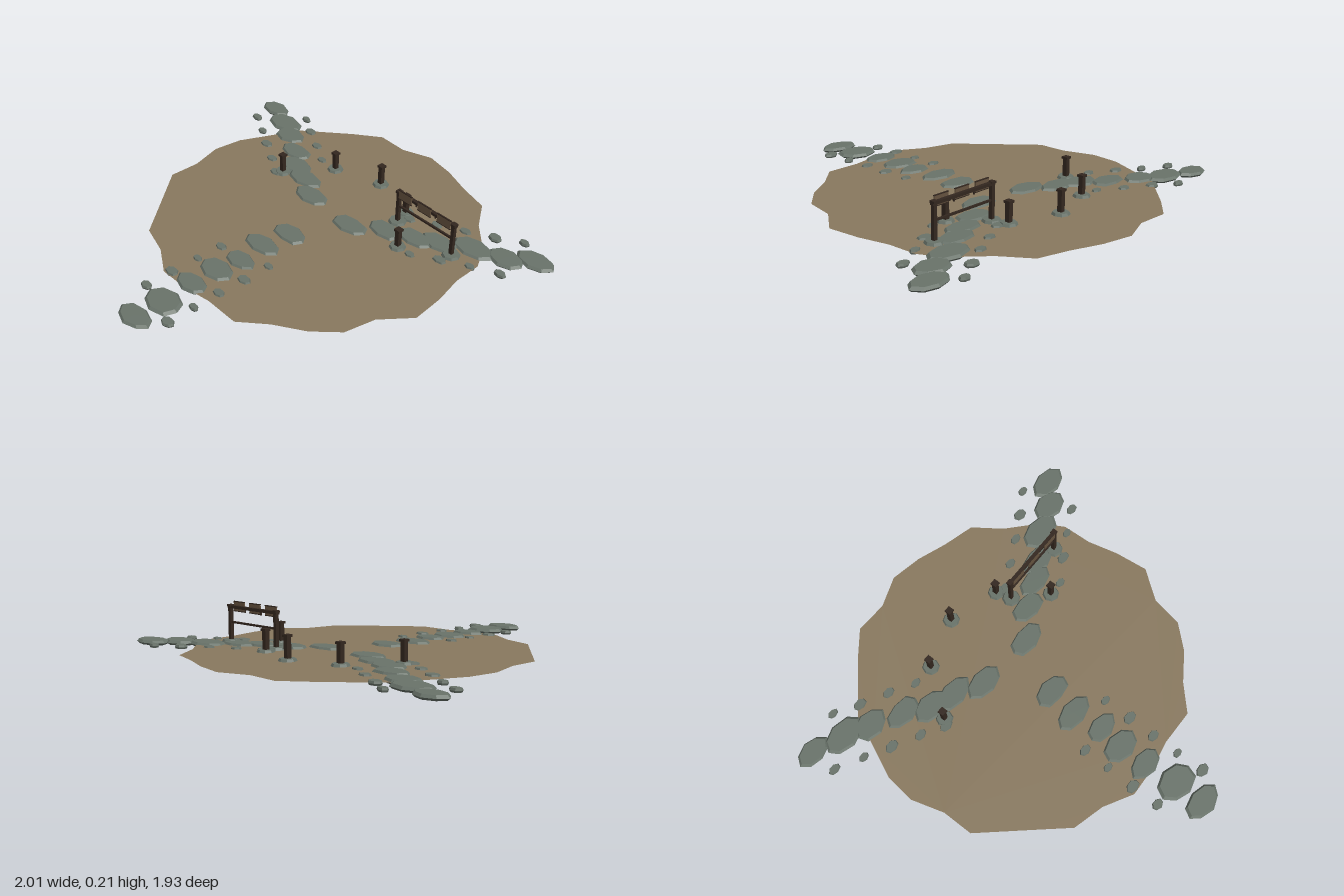
import * as THREE from 'three';

const mat = (name, color, side = THREE.FrontSide) => {
  const m = new THREE.MeshStandardMaterial({ color, side });
  m.name = name;
  return m;
};

export function createModel() {
  const root = new THREE.Group();
  root.name = 'stonePathClearing';
  const earth = mat('packed earth', 0x89795f, THREE.DoubleSide);
  const stone = mat('grey green stone', 0x69736a);
  const wood = mat('dark wood', 0x33271f);
  const plank = mat('board wood', 0x66533f);

  let seed = 7;
  const rand = () => (seed = (seed * 16807) % 2147483647) / 2147483647;

  const add = (parent, name, geo, material, x, y, z) => {
    const m = new THREE.Mesh(geo, material);
    m.name = name;
    m.position.set(x, y, z);
    parent.add(m);
    return m;
  };
  const group = (name) => {
    const g = new THREE.Group();
    g.name = name;
    root.add(g);
    return g;
  };
  const box = (parent, name, w, h, d, x, y, z, material = wood) =>
    add(parent, name, new THREE.BoxGeometry(w, h, d), material, x, y, z);

  // Faceted slab: bevelled top and bottom, uneven rim
  const slab = (parent, name, x, z, rx, rz, y0 = 0.002, h = 0.022, sides = 8, jitter = 0.16) => {
    const profile = [[0, 0], [0.86, 0], [1, 0.45], [0.86, 1], [0, 1]].map(([r, y]) => new THREE.Vector2(r, y * h));
    const geo = new THREE.LatheGeometry(profile, sides);
    const rim = Array.from({ length: sides }, () => 1 + (rand() - 0.5) * jitter);
    const p = geo.attributes.position, rows = profile.length;
    for (let i = 0; i < p.count; i++) {
      const k = rim[Math.floor(i / rows) % sides];
      p.setXYZ(i, p.getX(i) * rx * k, p.getY(i), p.getZ(i) * rz * k);
    }
    const flat = geo.toNonIndexed();
    flat.computeVertexNormals();
    return add(parent, name, flat, stone, x, y0, z);
  };

  // Earth patch
  const outline = [
    [0, -0.96], [0.155, -0.93], [0.3, -0.877], [0.455, -0.835], [0.55, -0.7], [0.69, -0.57],
    [0.75, -0.46], [0.755, -0.315], [0.79, -0.165], [0.807, 0], [0.7, 0.14], [0.67, 0.295],
    [0.567, 0.406], [0.43, 0.497], [0.315, 0.604], [0.14, 0.605], [0, 0.63], [-0.155, 0.636],
    [-0.294, 0.556], [-0.45, 0.513], [-0.556, 0.39], [-0.76, 0.155], [-0.76, 0], [-0.807, -0.16],
    [-0.79, -0.31], [-0.716, -0.476], [-0.663, -0.61], [-0.44, -0.81], [-0.31, -0.91], [-0.15, -0.904],
  ];
  const ground = new THREE.ShapeGeometry(new THREE.Shape(outline.map(([x, z]) => new THREE.Vector2(x, -z))));
  ground.rotateX(-Math.PI / 2);
  add(root, 'earthPatch', ground, earth, 0, 0.014, 0);

  // Three stepping stone paths: x, z, half width, half depth
  const paths = {
    frontPath: [[0.01, 0.027, 0.1, 0.06], [-0.016, 0.176, 0.107, 0.057], [0.01, 0.326, 0.088, 0.053],
      [-0.01, 0.449, 0.098, 0.064], [-0.005, 0.588, 0.092, 0.056], [0.01, 0.754, 0.107, 0.077], [0.01, 0.904, 0.103, 0.059]],
    rightPath: [[-0.155, -0.257, 0.107, 0.063], [-0.29, -0.335, 0.107, 0.058], [-0.406, -0.38, 0.1, 0.063],
      [-0.51, -0.465, 0.103, 0.058], [-0.647, -0.548, 0.092, 0.065], [-0.77, -0.61, 0.112, 0.067], [-0.912, -0.668, 0.09, 0.058]],
    leftPath: [[0.144, -0.235, 0.107, 0.058], [0.285, -0.335, 0.097, 0.058], [0.42, -0.395, 0.102, 0.058],
      [0.52, -0.455, 0.1, 0.06], [0.645, -0.545, 0.11, 0.065], [0.797, -0.6, 0.097, 0.063], [0.9, -0.69, 0.098, 0.063]],
  };
  for (const [name, list] of Object.entries(paths)) {
    const g = group(name);
    list.forEach(([x, z, rx, rz]) => slab(g, 'steppingStone', x, z, rx, rz));
  }

  // Small edging stones beside the paths
  const pebbles = [
    [0.128, 0.257], [-0.128, 0.33], [0.13, 0.4], [-0.128, 0.465], [0.128, 0.54], [-0.13, 0.608], [0.128, 0.678],
    [-0.128, 0.748], [0.13, 0.818], [-0.717, -0.722], [-0.914, -0.535], [-0.604, -0.652], [-0.786, -0.465],
    [-0.476, -0.583], [-0.668, -0.396], [-0.358, -0.513], [-0.54, -0.326], [-0.43, -0.262], [0.78, -0.758], [0.85, -0.497],
    [0.663, -0.685], [0.727, -0.433], [0.54, -0.615], [0.604, -0.363], [0.487, -0.29], [0.417, -0.55], [0.294, -0.487],
  ];
  const edging = group('edgingStones');
  pebbles.forEach(([x, z], i) => {
    const r = 0.028 + (i % 3) * 0.005;
    slab(edging, 'edgingStone', x, z, r, r * 0.68, 0.004, 0.018, 7);
  });

  // Short posts with caps, each on a round footing
  [[0, -0.588, 0.13], [-0.25, -0.508, 0.118], [0.25, -0.508, 0.122], [-0.41, -0.29, 0.122], [0.41, -0.29, 0.118]]
    .forEach(([x, z, top]) => {
      const g = group('markerPost');
      slab(g, 'footing', x, z, 0.042, 0.042, 0.004, 0.022, 8, 0.06);
      box(g, 'postShaft', 0.023, top - 0.02, 0.023, x, (top + 0.01) / 2, z);
      box(g, 'postCap', 0.032, 0.011, 0.032, x, top - 0.0055, z);
    });

  // Gate frame with three hanging boards
  const gate = group('boardGate');
  const gz = -0.43;
  for (const x of [0.272, 0.615]) {
    slab(gate, 'gateFooting', x, gz, 0.045, 0.045, 0.004, 0.022, 8, 0.06);
    box(gate, 'gatePost', 0.018, 0.18, 0.018, x, 0.1, gz);
    box(gate, 'gatePostCap', 0.026, 0.01, 0.026, x, 0.19, gz);
  }
  box(gate, 'topBeam', 0.37, 0.014, 0.018, 0.4435, 0.184, gz);
  box(gate, 'lowerRail', 0.343, 0.009, 0.01, 0.4435, 0.11, gz);
  for (const x of [0.322, 0.442, 0.563]) {
    box(gate, 'board', 0.08, 0.044, 0.006, x, 0.186, gz + 0.012, plank);
    for (const y of [0.163, 0.209]) box(gate, 'boardTrim', 0.084, 0.004, 0.007, x, y, gz + 0.012);
  }
  for (const x of [0.382, 0.502]) box(gate, 'peg', 0.006, 0.018, 0.006, x, 0.171, gz);

  return root;
}
